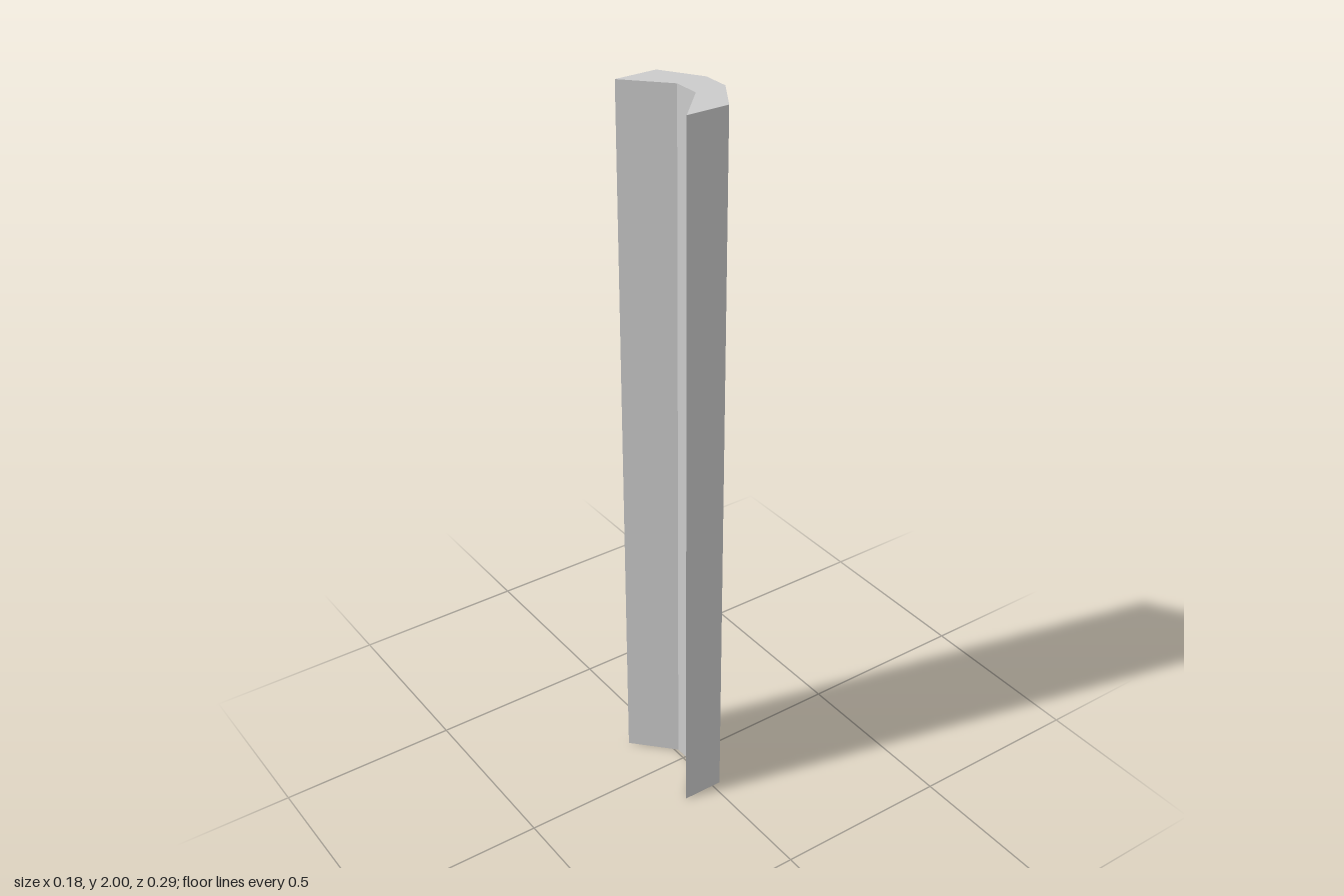
import * as THREE from 'three';

const HEIGHT = 2;

// One half of the angled cross-section as [x, z], from inner to outer face
const HALF_PROFILE = [[0.009, 0.037], [-0.092, 0.144], [0.024, 0.144], [0.092, 0.037]];

export function createModel() {
  const group = new THREE.Group();
  group.name = 'angledPost';

  // Mirror the half profile across z = 0 to close the outline
  const mirrored = HALF_PROFILE.map(([x, z]) => [x, -z]).reverse();
  const outline = [...HALF_PROFILE, ...mirrored].map(([x, z]) => new THREE.Vector2(x, z));

  // Extrude the section and stand it upright
  const geometry = new THREE.ExtrudeGeometry(new THREE.Shape(outline), {
    depth: HEIGHT,
    bevelEnabled: false,
  });
  geometry.rotateX(-Math.PI / 2);

  const material = new THREE.MeshStandardMaterial({ color: 0xcccccc, flatShading: true });
  const post = new THREE.Mesh(geometry, material);
  post.name = 'post';
  group.add(post);
  return group;
}
